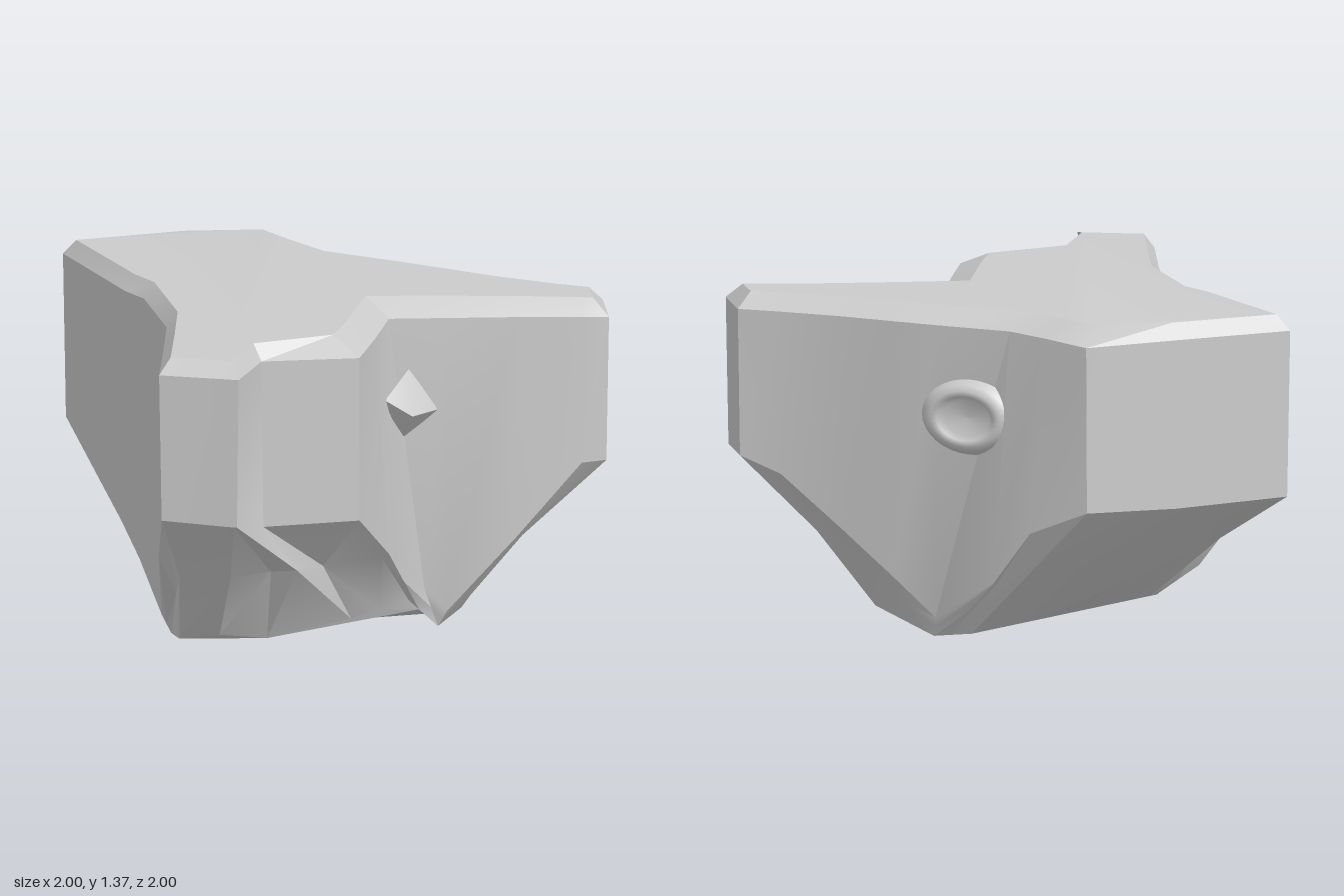
import * as THREE from 'three';
import { toCreasedNormals } from 'three/addons/utils/BufferGeometryUtils.js';
import { ConvexGeometry } from 'three/addons/geometries/ConvexGeometry.js';

const material = new THREE.MeshStandardMaterial({ color: 0xcccccc });
const V = (x, y, z) => new THREE.Vector3(x, y, z);

// Each arm starts at the tip of a V-shaped wall (rim x, z and foot x, y, z).
// base: corners of its lower edge.
// walls: rim x, rim z, foot height, outward flare of the foot, place along the
// base from 0 to 1, and optionally how far the undercut is drawn in.
const backArm = {
  tipRim: [-0.82, 0.2], tipFoot: [-0.84, 0.08, 0.2],
  base: [V(-0.8, 0, 0.2), V(0.2, 0.02, -0.42)],
  walls: [
    [-0.82, -0.22, 0.2, 0.02, 0.03, 1],
    [-0.87, -0.34, 0.33, 0.02, 0.06, 1],
    [-1, -0.92, 0.61, -0.01, 0.1],
    [-0.5, -0.96, 0.6, 0, 0.3],
    [-0.1, -1, 0.61, -0.01, 0.5, 1],
    [0, -0.76, 0.5, 0.08, 0.65, 1],
    [0.09, -0.58, 0.27, 0.12, 0.8, 1],
  ],
};
const rightArm = {
  tipRim: [0.33, -0.37], tipFoot: [0.33, 0.08, -0.34],
  base: [V(0.33, 0, -0.32), V(0.41, 0.03, 0.2)],
  walls: [
    [0.48, -0.23, 0.23, -0.02, 0.12, 1],
    [0.65, -0.07, 0.4, -0.04, 0.25],
    [0.86, 0.1, 0.62, -0.03, 0.4],
    [1, 0.2, 0.69, -0.01, 0.5],
    [0.97, 0.45, 0.69, -0.01, 0.65],
    [0.86, 0.43, 0.7, 0.06, 0.75],
    [0.6, 0.37, 0.38, 0.05, 0.85, 1],
    [0.32, 0.32, 0.07, 0.05, 0.96, 1],
  ],
};
const frontArm = {
  tipRim: [0.09, 0.28], tipFoot: [0.22, 0.17, 0.36],
  base: [
    V(0.28, 0, 0.34), V(0.15, 0.13, 0.38), V(-0.1, 0.08, 0.42),
    V(-0.45, 0.02, 0.42), V(-0.65, 0.05, 0.43), V(-0.8, 0.02, 0.35),
  ],
  walls: [
    [-0.03, 0.55, 0.39, 0.06, 0.1, 1],
    [-0.15, 0.8, 0.61, 0, 0.167],
    [-0.55, 0.76, 0.6, 0.01, 0.25],
    [-0.7, 1, 0.67, -0.01, 0.333],
    [-0.72, 0.99, 0.67, -0.01, 0.5, 0.8],
    [-0.74, 0.98, 0.67, -0.01, 0.667],
    [-1, 0.86, 0.68, -0.01, 0.833],
    [-0.9, 0.5, 0.42, 0.02, 0.92],
  ],
};
const arms = [backArm, rightArm, frontArm];

// Moves a closed outline inwards by a mitred distance per corner
function inset(ring, distance) {
  const n = ring.length;
  const edgeNormal = (a, b) => V(a.z - b.z, 0, b.x - a.x).normalize();
  return ring.map((p, i) => {
    const n1 = edgeNormal(ring[(i + n - 1) % n], p);
    const n2 = edgeNormal(p, ring[(i + 1) % n]);
    const step = distance(i) / Math.max(1, 1 + n1.dot(n2));
    return p.clone().addScaledVector(n1.add(n2), step);
  });
}

// Horizontal outlines of the block from the top face to the base
function blockRings() {
  const rim = [], stations = [];
  arms.forEach((arm, k) => {
    const next = arms[(k + 1) % arms.length];
    const edge = new THREE.CatmullRomCurve3([...arm.base, next.base[0]], false, 'catmullrom', 0);
    rim.push(V(arm.tipRim[0], 1.3, arm.tipRim[1]));
    stations.push({ foot: V(...arm.tipFoot), base: arm.base[0].clone(), flare: 0, pull: 1 });
    for (const [x, z, height, flare, t, pull = 0.95] of arm.walls) {
      rim.push(V(x, 1.3, z));
      stations.push({ height, flare, pull, base: edge.getPoint(t) });
    }
  });
  const flared = inset(rim, (i) => -stations[i].flare);
  const foot = stations.map((s, i) => s.foot ?? flared[i].setY(s.height));
  const base = stations.map((s) => s.base);
  const undercut = stations.map((s, i) =>
    foot[i].clone().lerp(base[i], 0.5).multiply(V(s.pull, 1, s.pull)));
  // the bevel is broad over the V walls and narrows towards the arm ends
  const bevel = (i) => (rim[i].x < -0.2 ? 0.045 : 0.12 - 0.06 * rim[i].x);
  const top = inset(rim, bevel).map((p) => p.setY(1.365));
  return [top, rim, foot, undercut, base];
}

function blockGeometry() {
  const rings = blockRings();
  const pos = [];
  const tri = (...pts) => pts.forEach((p) => pos.push(p.x, p.y, p.z));
  // sides
  for (let r = 0; r < rings.length - 1; r++) {
    const upper = rings[r], lower = rings[r + 1];
    for (let i = 0; i < upper.length; i++) {
      const j = (i + 1) % upper.length;
      tri(upper[i], upper[j], lower[j]);
      tri(upper[i], lower[j], lower[i]);
    }
  }
  // top and bottom caps
  const cap = (ring, up) => {
    const flat = ring.map((p) => new THREE.Vector2(p.x, p.z));
    for (const [a, b, c] of THREE.ShapeUtils.triangulateShape(flat, [])) {
      const A = ring[a], B = ring[b], C = ring[c];
      const ny = B.clone().sub(A).cross(C.clone().sub(A)).y;
      if (ny * up > 0) tri(A, B, C);
      else tri(A, C, B);
    }
  };
  cap(rings[0], 1);
  cap(rings[rings.length - 1], -1);
  const geo = new THREE.BufferGeometry();
  geo.setAttribute('position', new THREE.Float32BufferAttribute(pos, 3));
  return toCreasedNormals(geo, 0.45);
}

// Raised oval ring with a shallow hollow
function craterGeometry() {
  const profile = [[0.18, -0.03], [0.15, 0.025], [0.125, 0.045], [0.1, 0.04], [0.08, 0.015], [0, 0.008]];
  const geo = new THREE.LatheGeometry(profile.map((p) => new THREE.Vector2(...p)), 32);
  return geo.rotateX(Math.PI / 2).scale(1.25, 0.92, 1);
}

export function createModel() {
  const group = new THREE.Group();
  const add = (name, geo, mat = material) => {
    const mesh = new THREE.Mesh(geo, mat);
    mesh.name = name;
    group.add(mesh);
    return mesh;
  };

  add('threeArmedBlock', blockGeometry());

  // ring on the back right wall
  const openMaterial = material.clone();
  openMaterial.side = THREE.DoubleSide;
  const crater = add('craterRing', craterGeometry(), openMaterial);
  crater.position.set(0.23, 0.93, -0.465);
  crater.lookAt(0.9, 0.93, -1.205);

  // pointed lump in the front inner corner
  const lump = new ConvexGeometry([
    V(0.04, 1.0, 0.43), V(0.28, 0.92, 0.34), V(0.17, 1.09, 0.3),
    V(0.14, 0.79, 0.3), V(0.15, 0.93, 0.45), V(0.05, 0.88, 0.34),
  ]);
  add('cornerLump', toCreasedNormals(lump, 0.4));

  return group;
}
